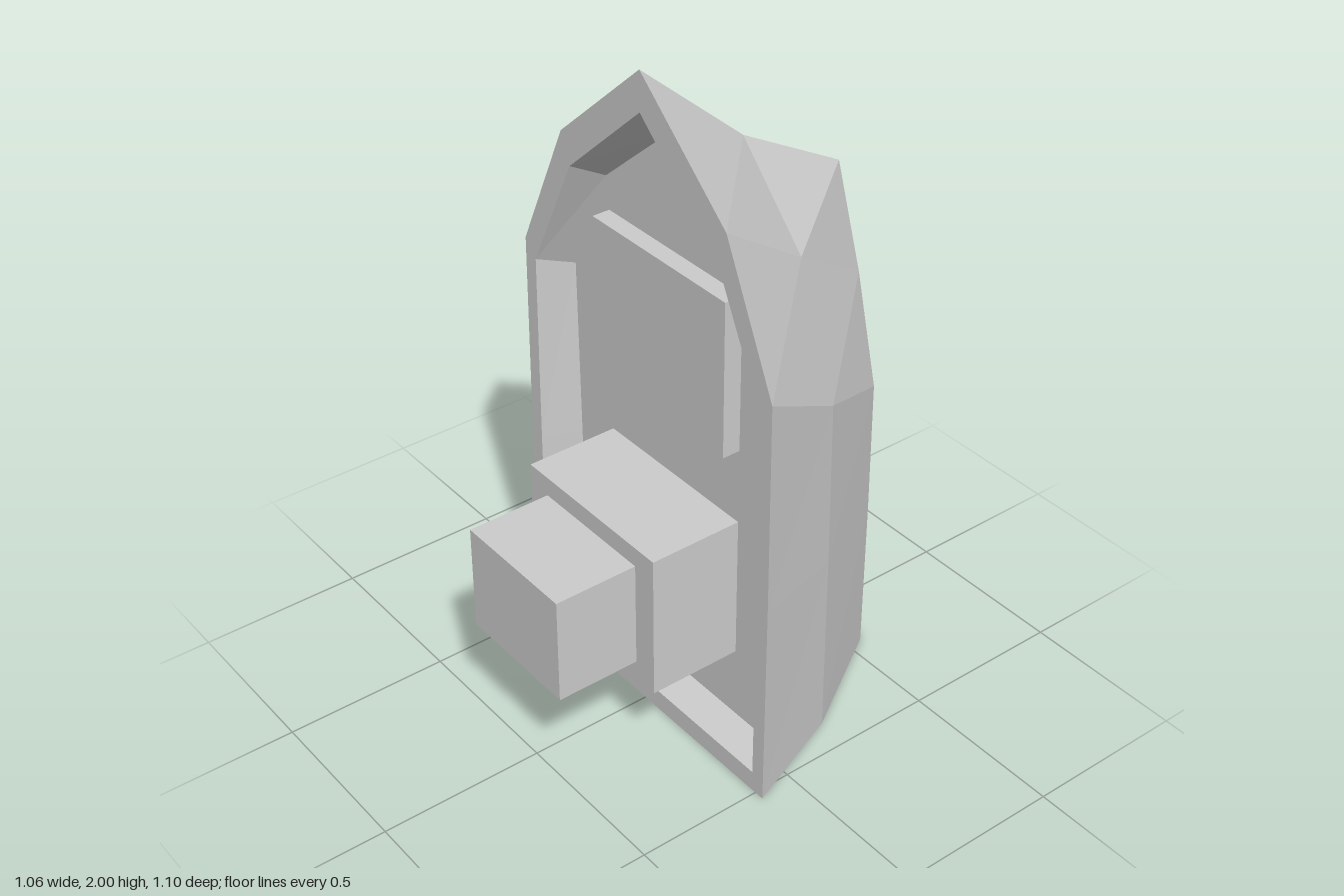
import * as THREE from 'three';

const material = new THREE.MeshStandardMaterial({ color: 0xcccccc, flatShading: true, side: THREE.DoubleSide });

// Half outlines, from the bottom corner up to the apex, each at a depth z
const sections = [
  { z: 0.01, half: [[0.425, 0.08], [0.43, 0.66], [0.44, 1.22], [0.29, 1.555], [0, 1.805]] },   // recess floor
  { z: 0.115, half: [[0.485, 0.065], [0.485, 0.66], [0.48, 1.25], [0.305, 1.61], [0, 1.885]] }, // rim, inner edge
  { z: 0.115, half: [[0.53, 0], [0.53, 0.66], [0.525, 1.3], [0.34, 1.7], [0, 2]] },            // rim, outer edge
  { z: -0.215, half: [[0.4, 0], [0.395, 0.58], [0.385, 1.09], [0.24, 1.47], [0, 1.72]] },      // shell bend
  { z: -0.55, half: [[0.19, 0], [0.19, 0.5], [0.185, 0.91], [0.1, 1.24], [0, 1.54]] },         // back face
];

// Mirror a half outline into a full ring, counter-clockwise from the front
function ring({ z, half }) {
  const mirrored = half.slice(0, -1).reverse().map(([x, y]) => [-x, y]);
  return [...half, ...mirrored].map(([x, y]) => [x, y, z]);
}

// Skin the rings in order and close both ends
function loft(rings) {
  const pos = [];
  const tri = (a, b, c) => pos.push(...a, ...b, ...c);
  const n = rings[0].length;
  for (let k = 0; k < rings.length - 1; k++) {
    const a = rings[k], b = rings[k + 1];
    for (let i = 0; i < n; i++) {
      const j = (i + 1) % n;
      tri(a[i], b[i], b[j]);
      tri(a[i], b[j], a[j]);
    }
  }
  const first = rings[0], last = rings[rings.length - 1];
  for (let i = 1; i < n - 1; i++) {
    tri(first[0], first[i], first[i + 1]);
    tri(last[0], last[i + 1], last[i]);
  }
  const geometry = new THREE.BufferGeometry();
  geometry.setAttribute('position', new THREE.Float32BufferAttribute(pos, 3));
  geometry.computeVertexNormals();
  return geometry;
}

// Box given by half width, height range and depth range
function block(name, halfWidth, y0, y1, z0, z1) {
  const mesh = new THREE.Mesh(new THREE.BoxGeometry(halfWidth * 2, y1 - y0, z1 - z0), material);
  mesh.position.set(0, (y0 + y1) / 2, (z0 + z1) / 2);
  mesh.name = name;
  return mesh;
}

export function createModel() {
  const group = new THREE.Group();
  group.name = 'cabinet';

  // Pointed shell with a recessed front, tapering to the back
  const shell = new THREE.Mesh(loft(sections.map(ring)), material);
  shell.name = 'shell';
  group.add(shell);

  // Raised panel above, stepped console below
  group.add(
    block('screenPanel', 0.278, 0.985, 1.457, 0.01, 0.065),
    block('consoleBase', 0.278, 0.305, 0.753, 0.01, 0.295),
    block('consoleFront', 0.2, 0.365, 0.693, 0.295, 0.55),
  );
  return group;
}
